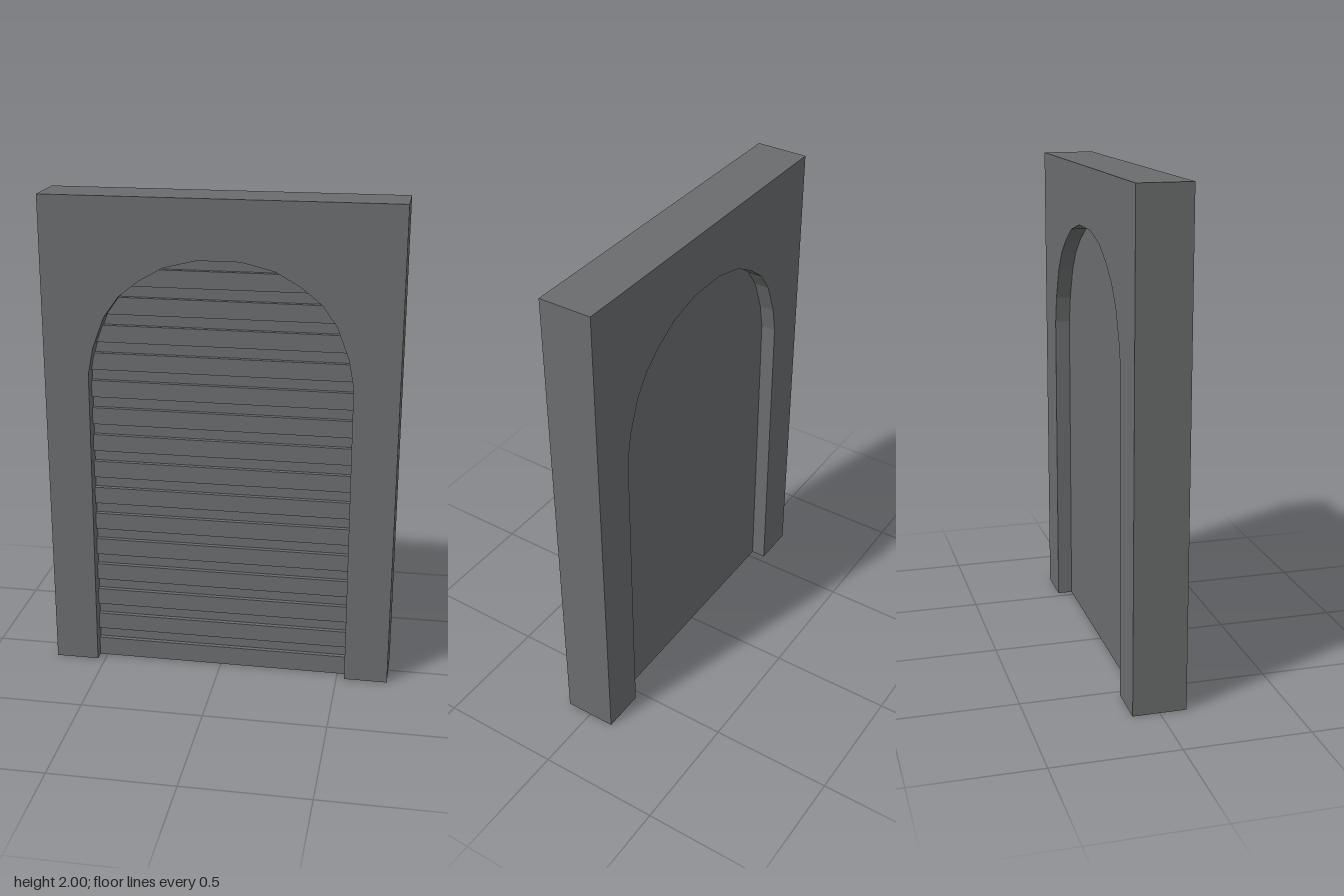
import * as THREE from 'three';

// Right half of the arched opening, from the floor to the crown
const ARCH = [
  [0.533, 0], [0.533, 1.28], [0.512, 1.39], [0.463, 1.52], [0.402, 1.605],
  [0.32, 1.67], [0.22, 1.727], [0.085, 1.76],
];
const FRONT = 0.107, BACK = -0.107;
const SLAT_FRONT = 0.064, GROOVE = 0.044, PANEL_BACK = -0.045;

const mirrored = (half) => [...half, ...half.map(([x, y]) => [-x, y]).reverse()];

// Extrudes an outline between two depths
function slab(points, z0, z1) {
  const shape = new THREE.Shape(points.map(([x, y]) => new THREE.Vector2(x, y)));
  const geometry = new THREE.ExtrudeGeometry(shape, { depth: z1 - z0, bevelEnabled: false });
  return geometry.translate(0, 0, z0);
}

// Half width of the opening at a height
function halfWidth(y) {
  for (let i = 1; i < ARCH.length; i++) {
    const [x0, y0] = ARCH[i - 1], [x1, y1] = ARCH[i];
    if (y <= y1) return x0 + (x1 - x0) * (y - y0) / (y1 - y0);
  }
  return ARCH[ARCH.length - 1][0];
}

// Right edge of the opening between two heights
function band(y0, y1) {
  const inner = ARCH.filter(([, y]) => y > y0 + 1e-4 && y < y1 - 1e-4);
  return mirrored([[halfWidth(y0), y0], ...inner, [halfWidth(y1), y1]]);
}

export function createModel() {
  const model = new THREE.Group();
  model.name = 'archedShutterDoor';
  const grey = new THREE.MeshStandardMaterial({ color: 0x6a6c6d });
  grey.name = 'slate grey';

  const add = (name, geometry, parent = model) => {
    const mesh = new THREE.Mesh(geometry, grey);
    mesh.name = name;
    parent.add(mesh);
  };

  // Wall around the opening, very slightly wider at the top
  const opening = mirrored(ARCH).reverse();
  add('wallFrame', slab([
    [0.712, 0], [0.718, 2], [-0.718, 2], [-0.712, 0], ...opening,
  ], BACK, FRONT));

  // Flat panel filling the arch
  add('panel', slab(mirrored(ARCH), PANEL_BACK, GROOVE));

  // Raised slats with narrow grooves between them
  const slats = new THREE.Group();
  slats.name = 'slats';
  model.add(slats);
  const pitch = 0.1164, gap = 0.046;
  for (let i = 0; i < 15; i++) {
    const top = 0.08 + pitch * i;
    const bottom = i === 0 ? 0 : top - pitch + gap;
    add('slat', slab(band(bottom, top), GROOVE, SLAT_FRONT), slats);
  }
  return model;
}
